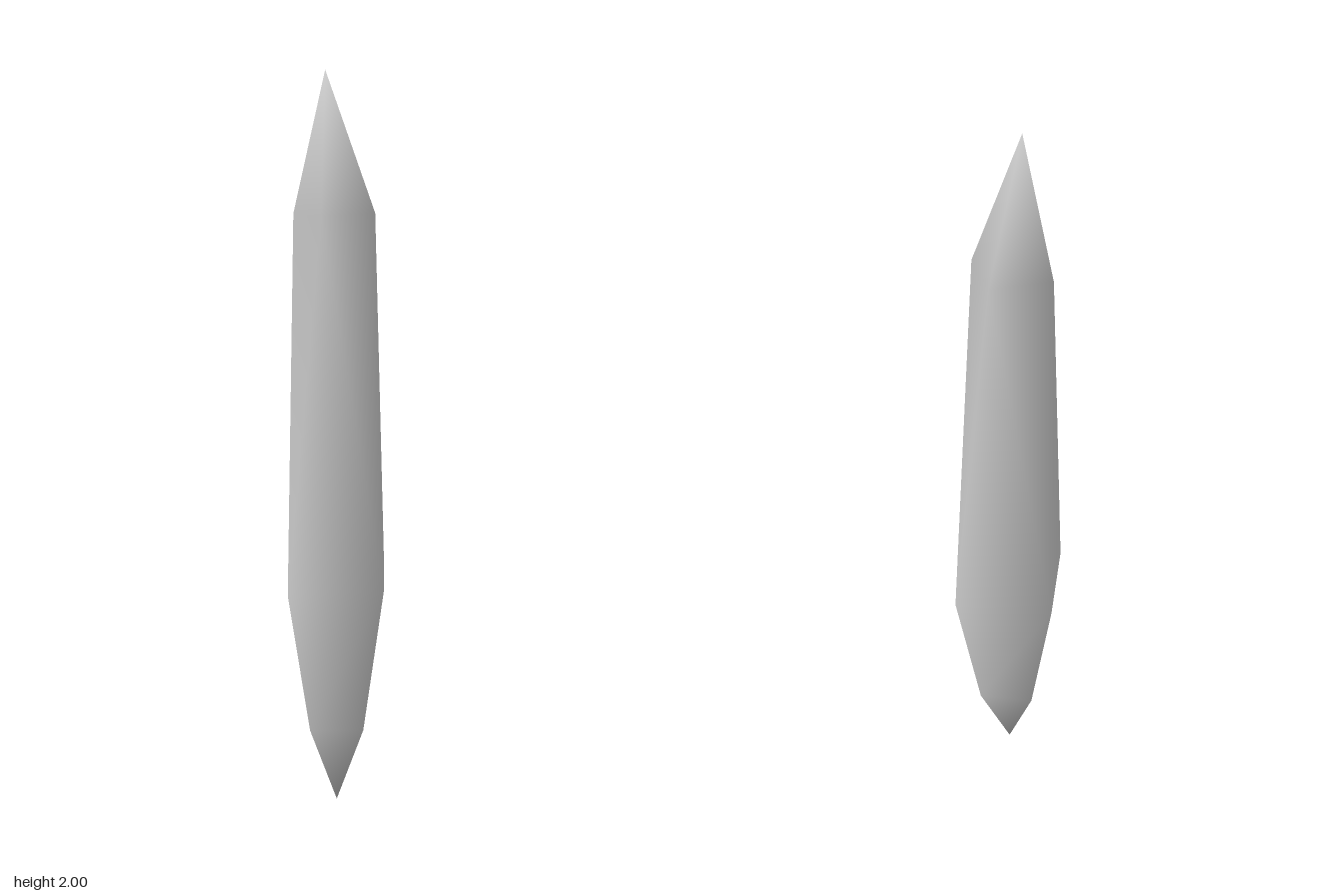
import * as THREE from 'three';

// Cross-sections as [x, y, z], corners in the same turning order
const lowerRing = [[-0.075, 0.23, -0.075], [0.075, 0.23, -0.075], [0.073, 0.23, 0.07], [-0.073, 0.23, 0.073]];
const middleRing = [[-0.135, 0.63, -0.13], [0.133, 0.63, -0.133], [0.126, 0.64, 0.118], [-0.13, 0.63, 0.13]];
// The upper ring is twisted: each corner sits between two middle corners
const upperRing = [[0.035, 1.64, -0.117], [0.1, 1.635, 0.03], [-0.04, 1.63, 0.105], [-0.115, 1.63, -0.04]];

function crystalGeometry() {
  const points = [[0, 0, 0], ...lowerRing, ...middleRing, ...upperRing, [-0.03, 2, 0]];
  const tip = 0, apex = 13;
  const faces = [];
  for (let i = 0; i < 4; i++) {
    const j = (i + 1) % 4;
    const [lowA, lowB, midA, midB, upA, upB] = [1 + i, 1 + j, 5 + i, 5 + j, 9 + i, 9 + j];
    faces.push(lowA, lowB, tip);                          // bottom point
    faces.push(lowB, lowA, midA, lowB, midA, midB);       // flaring base
    faces.push(midB, midA, upA, upA, upB, midB);          // twisted shaft
    faces.push(upB, upA, apex);                           // top point
  }
  const geometry = new THREE.BufferGeometry();
  geometry.setAttribute('position', new THREE.Float32BufferAttribute(points.flat(), 3));
  geometry.setIndex(faces);
  geometry.computeVertexNormals();
  return geometry;
}

export function createModel() {
  const group = new THREE.Group();
  group.name = 'crystalShard';
  const crystal = new THREE.Mesh(crystalGeometry(), new THREE.MeshStandardMaterial({ color: 0xcccccc }));
  crystal.name = 'crystal';
  group.add(crystal);
  return group;
}
